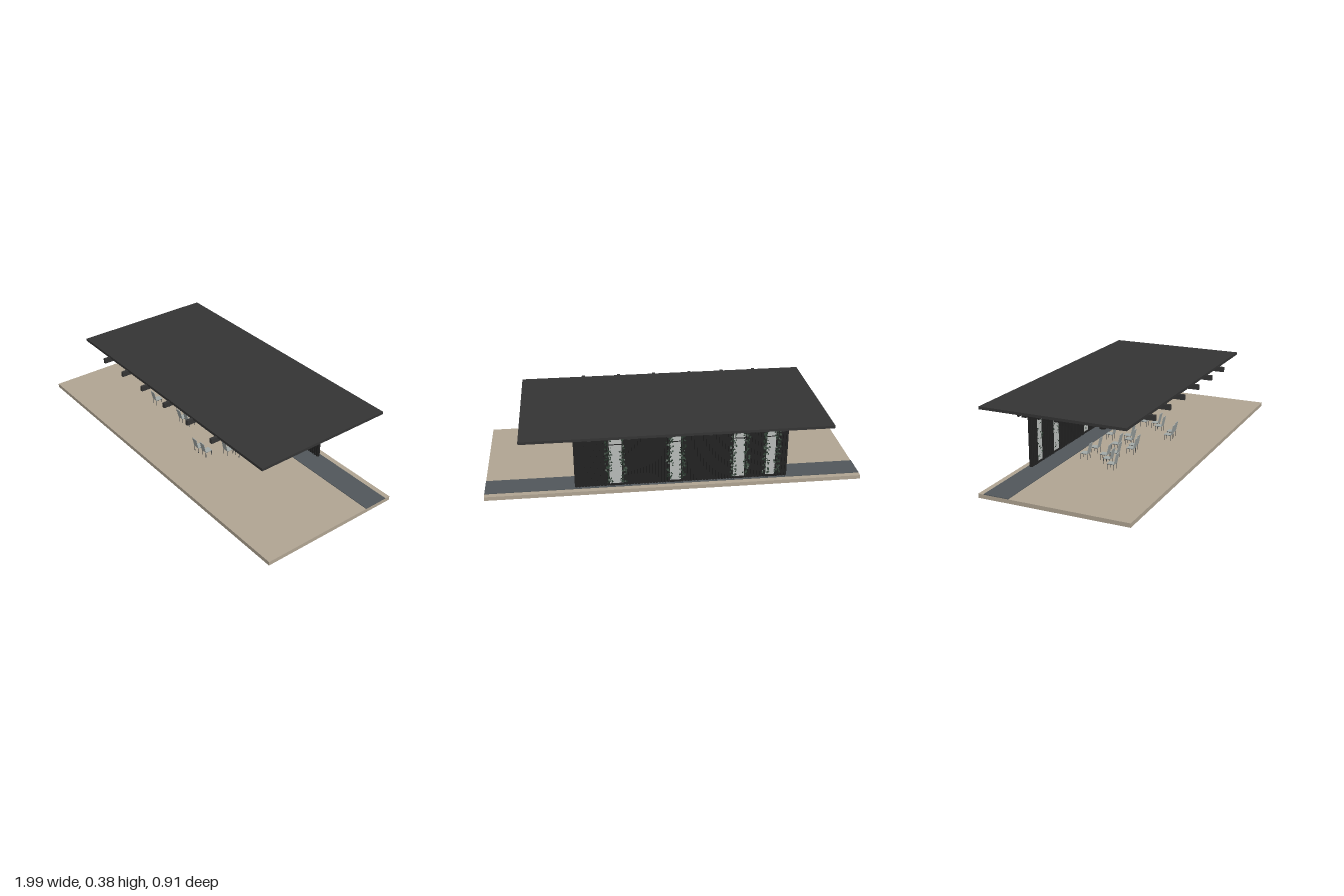
import * as THREE from 'three';
import { mergeGeometries } from 'three/addons/utils/BufferGeometryUtils.js';

const mat = (name, color, side = THREE.FrontSide) => {
  const m = new THREE.MeshStandardMaterial({ color, side });
  m.name = name;
  return m;
};

// Box given by its limits on each axis
const span = (x0, x1, y0, y1, z0, z1) =>
  new THREE.BoxGeometry(x1 - x0, y1 - y0, z1 - z0)
    .translate((x0 + x1) / 2, (y0 + y1) / 2, (z0 + z1) / 2);

export function createModel() {
  const M = {
    paving: mat('paving', 0xb1a593),
    strip: mat('slate strip', 0x51575b),
    roof: mat('roof charcoal', 0x343434),
    wall: mat('black timber', 0x222222),
    glass: mat('pale glass', 0xb9bdbb),
    leaf: mat('dark leaf', 0x2f4034, THREE.DoubleSide),
    metal: mat('chair metal', 0x4a4d4e),
    seat: mat('chair shell', 0xa3aaa8),
  };
  const group = new THREE.Group();
  const add = (name, geos, material) => {
    const mesh = new THREE.Mesh(geos.length > 1 ? mergeGeometries(geos) : geos[0], material);
    mesh.name = name;
    group.add(mesh);
  };

  // Ground
  add('terrace', [span(-1, 0.985, 0, 0.021, -0.34, 0.453)], M.paving);
  add('slateStrip', [span(-1, 0.985, 0.021, 0.024, -0.31, -0.175)], M.strip);

  // Roof slab, rafters across it and purlins along it
  add('roofSlab', [span(-0.8, 0.785, 0.367, 0.381, -0.453, 0.34)], M.roof);
  add('rafters', [-0.545, -0.36, -0.17, 0.037, 0.24, 0.44].map(
    x => span(x - 0.008, x + 0.008, 0.346, 0.373, -0.42, 0.375)), M.roof);
  const purlins = [[0.187, 0.027], [0.127, 0.017], [-0.002, 0.025], [-0.055, 0.025],
    [-0.102, 0.025], [-0.163, 0.027], [-0.235, 0.025], [-0.268, 0.012]];
  add('purlins', purlins.map(
    ([z, w]) => span(-0.74, 0.72, 0.336, 0.36, z - w / 2, z + w / 2)), M.wall);

  // Timber wall: solid panels with battens on both faces, windows between
  const windows = [[-0.54, -0.49], [-0.375, -0.315], [-0.037, 0.02], [0.272, 0.337]];
  const edges = [-0.605, ...windows.flat(), 0.52];
  const boards = [], battens = [];
  for (let i = 0; i < edges.length; i += 2) {
    const a = edges[i], b = edges[i + 1];
    boards.push(span(a, b, 0.021, 0.346, -0.294, -0.286));
    const n = Math.round((b - a) / 0.016), step = (b - a) / n;
    for (let k = 0; k < n; k++) {
      const x = a + (k + 0.5) * step;
      battens.push(span(x - 0.005, x + 0.005, 0.021, 0.346, -0.299, -0.281));
    }
  }
  add('wallPanels', boards, M.wall);
  add('wallBattens', battens, M.wall);
  add('windowPanes', windows.map(([a, b]) => span(a, b, 0.034, 0.325, -0.293, -0.287)), M.glass);
  add('windowFrames', windows.flatMap(([a, b]) => [
    span(a, b, 0.021, 0.034, -0.299, -0.283),
    span(a, b, 0.325, 0.346, -0.299, -0.283),
    span(a, b, 0.258, 0.262, -0.296, -0.284),
  ]), M.wall);

  // Climbing plants behind the window edges, with some leaves seen through the glass
  let seed = 7;
  const rand = () => (seed = (seed * 16807) % 2147483647) / 2147483647;
  const leaves = [], stems = [];
  const leaf = (x, y, z, s) => leaves.push(new THREE.CircleGeometry(s, 5)
    .rotateX((rand() - 0.5) * 1.4).rotateY((rand() - 0.5) * 1.4).translate(x, y, z));
  for (const [a, b] of windows) {
    for (const [edge, out] of [[a, -1], [b, 1]]) {
      stems.push(span(edge + out * 0.006 - 0.001, edge + out * 0.006 + 0.001, 0.045, 0.34, -0.317, -0.315));
      for (let i = 0; i < 75; i++) {
        leaf(edge + out * (rand() * 0.034 - 0.012), 0.05 + rand() * 0.288,
          -0.316 + (rand() - 0.5) * 0.012, 0.004 + rand() * 0.003);
      }
    }
    for (let i = 0; i < 55; i++) {
      const t = rand() * rand();
      const x = rand() < 0.5 ? a + t * (b - a) : b - t * (b - a);
      leaf(x, 0.05 + rand() * 0.27, -0.283, 0.003 + rand() * 0.003);
    }
  }
  add('climbingLeaves', leaves, M.leaf);
  add('climbingStems', stems, M.leaf);

  // Chairs facing the wall, placed by x and the z of the top of the back
  const bar = (x, z) => span(x - 0.001, x + 0.001, 0.021, 0.052, z - 0.001, z + 0.001);
  const chairGeo = {
    legs: mergeGeometries([-0.016, 0.016].flatMap(x => [bar(x, -0.015), bar(x, -0.052),
      span(x - 0.001, x + 0.001, 0.05, 0.052, -0.053, -0.014)])),
    seat: span(-0.018, 0.018, 0.052, 0.055, -0.054, -0.013),
    back: new THREE.BoxGeometry(0.036, 0.058, 0.003).rotateX(0.23).translate(0, 0.082, -0.007),
  };
  const places = [[-0.45, 0.128], [-0.39, 0.077], [-0.37, -0.065], [-0.342, 0.034], [-0.295, 0.07],
    [-0.265, -0.058], [-0.2, 0.121], [-0.15, 0.111], [-0.17, 0.017], [-0.075, 0.053],
    [-0.02, 0.022], [-0.04, -0.08], [0.085, 0.218], [0.142, 0.21], [0.203, 0.111],
    [0.25, 0.07], [0.248, -0.002]];
  for (const [x, z] of places) {
    const chair = new THREE.Group();
    chair.name = 'chair';
    for (const part of Object.keys(chairGeo)) {
      const mesh = new THREE.Mesh(chairGeo[part], part === 'legs' ? M.metal : M.seat);
      mesh.name = 'chair' + part[0].toUpperCase() + part.slice(1);
      chair.add(mesh);
    }
    chair.position.set(x, 0, z);
    group.add(chair);
  }
  return group;
}
